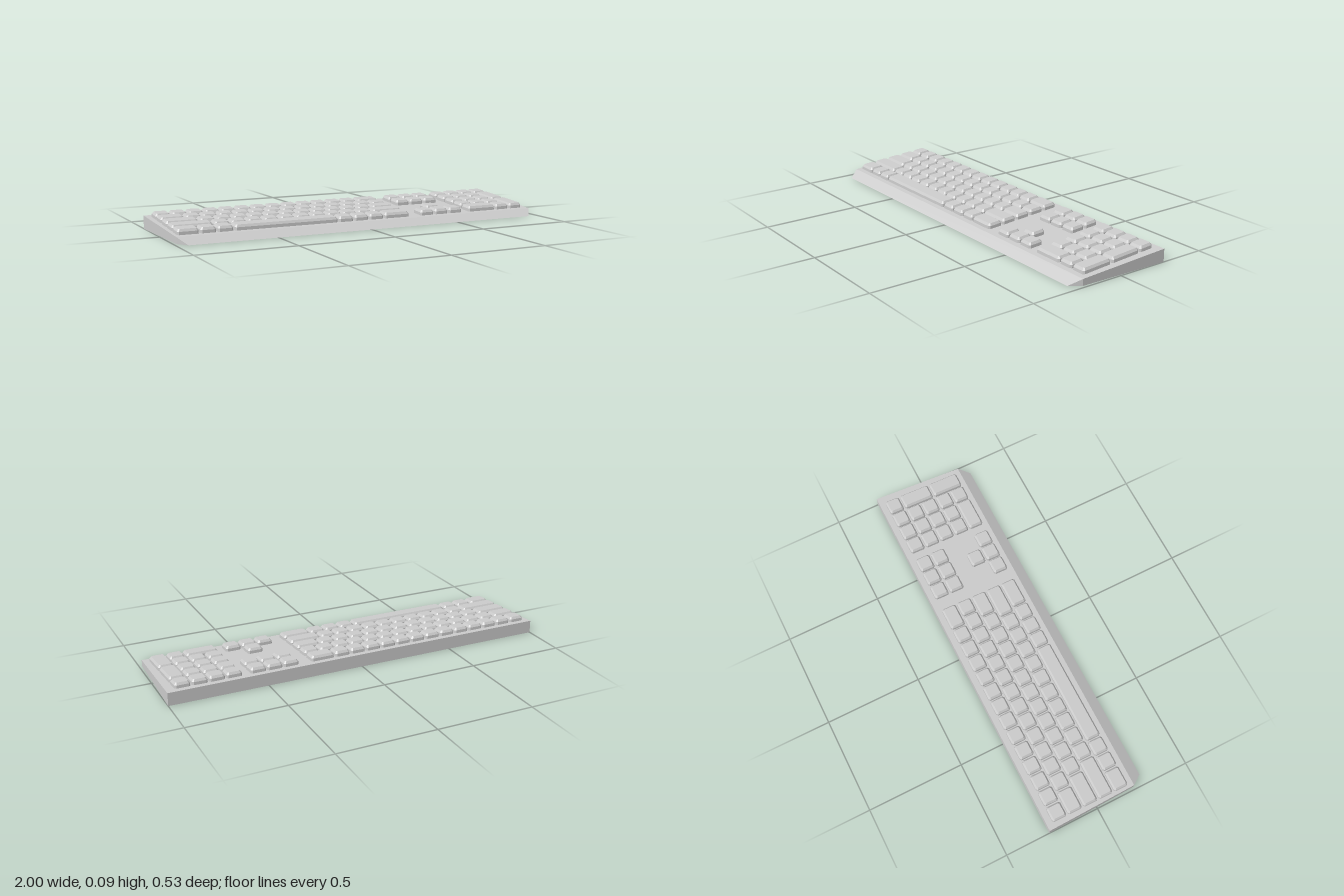
import * as THREE from 'three';
import { ConvexGeometry } from 'three/addons/geometries/ConvexGeometry.js';

const U = 0.0854;                 // key pitch
const GAP = 0.007;                // space between keys
const ROW_Z = -0.2365;            // back edge of the first key row
const BACK = -0.267, EDGE = 0.211, FRONT = 0.267;
const material = new THREE.MeshStandardMaterial({ color: 0xcccccc, flatShading: true });

// Height of the sloping deck at a given z
const deckY = (z) => THREE.MathUtils.mapLinear(z, BACK, EDGE, 0.066, 0.033);

// Wedge-shaped case with a sloped front lip and cut front corners
function makeCase() {
  const points = [];
  for (const s of [-1, 1]) {
    points.push(
      new THREE.Vector3(s, 0, BACK),
      new THREE.Vector3(s, deckY(BACK), BACK),
      new THREE.Vector3(s * 0.985, deckY(EDGE), EDGE),
      new THREE.Vector3(s * 0.985, 0, EDGE),
      new THREE.Vector3(s * 0.945, 0, FRONT),
    );
  }
  const mesh = new THREE.Mesh(new ConvexGeometry(points), material);
  mesh.name = 'case';
  return mesh;
}

// Keycap: chamfered-corner rings, near-straight skirt, bevelled top, following the deck slope
function makeKey(x, row, width, depth) {
  const w = width * U - GAP, d = depth * U - GAP;
  const cx = x + w / 2, cz = ROW_Z + row * U + d / 2;
  const points = [];
  for (const [h, inset, cut] of [[-0.003, 0, 0.008], [0.015, 0.001, 0.008], [0.0265, 0.009, 0.005]]) {
    const a = w / 2 - inset, b = d / 2 - inset;
    for (const sx of [-1, 1]) for (const sz of [-1, 1]) {
      for (const [px, pz] of [[a - cut, b], [a, b - cut]]) {
        const z = sz * pz;
        points.push(new THREE.Vector3(sx * px, deckY(cz + z) + h, z));
      }
    }
  }
  const mesh = new THREE.Mesh(new ConvexGeometry(points), material);
  mesh.position.set(cx, 0, cz);
  mesh.name = 'key';
  return mesh;
}

// Keys of one block: each entry is [row, first column, widths, depth]
function makeBlock(name, left, runs) {
  const block = new THREE.Group();
  block.name = name;
  for (const [row, column, widths, depth = 1] of runs) {
    let c = column;
    for (const width of widths) {
      block.add(makeKey(left + c * U, row, width, depth));
      c += width;
    }
  }
  return block;
}

const ones = (n) => Array(n).fill(1);

export function createModel() {
  const model = new THREE.Group();
  model.name = 'keyboard';
  model.add(makeCase());

  model.add(makeBlock('mainKeys', -0.971, [
    [0, 0, [...ones(13), 1.5]],
    [1, 0, [1.5, ...ones(13)]],
    [2, 0, [2, ...ones(11), 1.5]],
    [3, 0, [2.5, ...ones(10), 2]],
    [4, 0, [1.33, 1, 1, 6.42, 1, 1, 1, 1.75]],
  ]));

  model.add(makeBlock('navigationKeys', 0.328, [
    [0, 0, ones(3)],
    [1, 0, ones(3)],
  ]));

  model.add(makeBlock('arrowKeys', 0.328, [
    [3, 1, [1]],
    [4, 0, ones(3)],
  ]));

  // Number pad with two double-height keys and one double-width key
  model.add(makeBlock('numberPad', 0.621, [
    [0, 0, ones(4)],
    [1, 0, ones(3)],
    [2, 0, ones(3)],
    [3, 0, ones(3)],
    [4, 0, [2, 1]],
    [1, 3, [1], 2],
    [3, 3, [1], 2],
  ]));

  return model;
}
